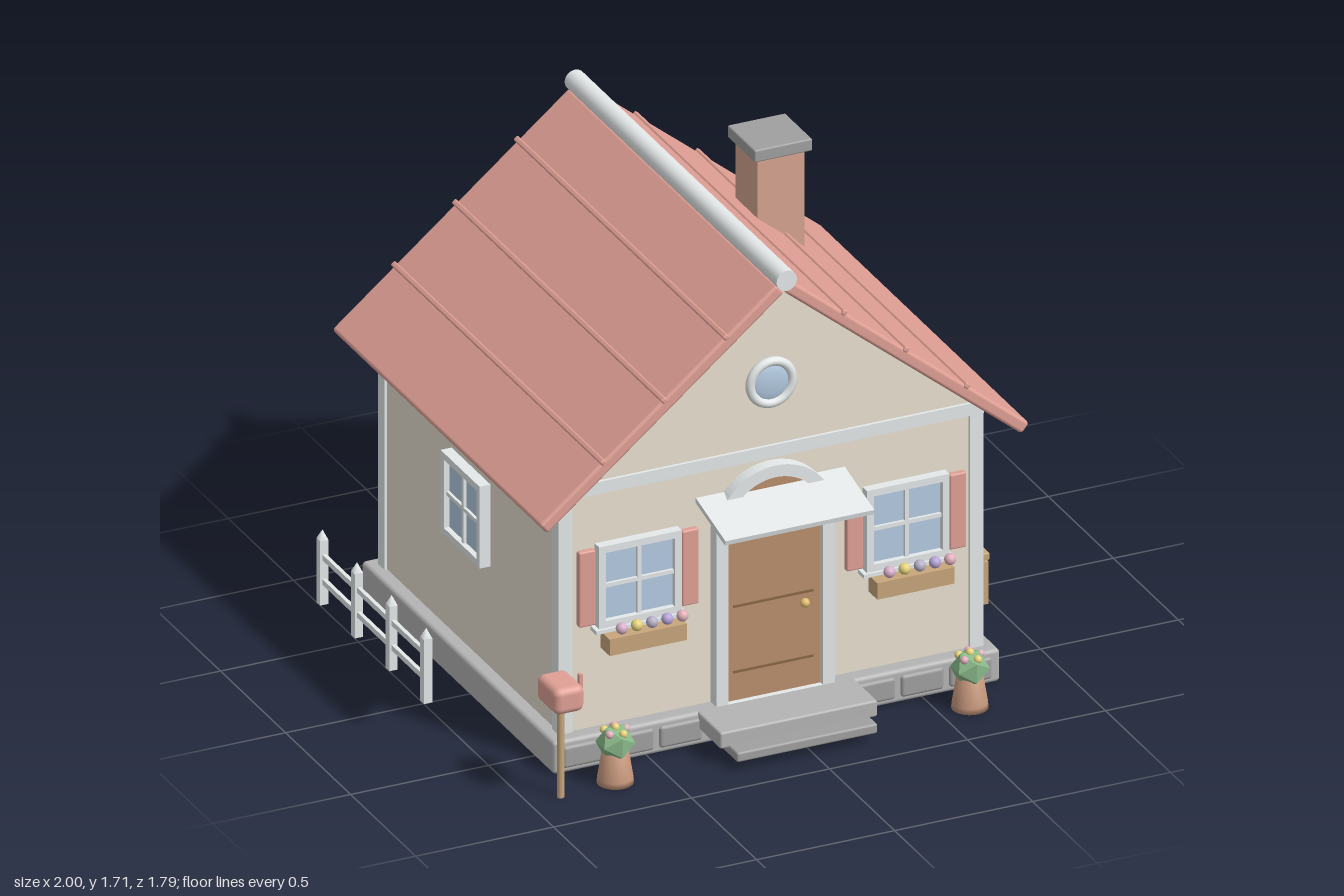
import * as THREE from 'three';
import { RoundedBoxGeometry } from 'three/addons/geometries/RoundedBoxGeometry.js';

const mat = (color, extra = {}) => new THREE.MeshStandardMaterial({ color, ...extra });
const M = {
  wall: mat(0xe8e0d0), roof: mat(0xe0a095), trim: mat(0xe4e8e8), stone: mat(0xb4b4b4), cap: mat(0xa0a0a0),
  brick: mat(0xd6a590), door: mat(0xb98f6c), groove: mat(0x8a6647), glass: mat(0xb4cbe2), wood: mat(0xc8a67c),
  gold: mat(0xe0c070), leaf: mat(0x88b888, { flatShading: true }), pot: mat(0xc6977c),
};
const blooms = [0xd8b0cc, 0xe6d27c, 0xb8b0c8, 0xb8a4d8, 0xe0b0bc].map((c) => mat(c));

function add(parent, name, geo, material, x = 0, y = 0, z = 0) {
  const m = new THREE.Mesh(geo, material);
  m.name = name;
  m.position.set(x, y, z);
  parent.add(m);
  return m;
}
function group(parent, name, x = 0, y = 0, z = 0) {
  const g = new THREE.Group();
  g.name = name;
  g.position.set(x, y, z);
  parent.add(g);
  return g;
}
const box = (w, h, d) => new THREE.BoxGeometry(w, h, d);
const rbox = (w, h, d, r) => new RoundedBoxGeometry(w, h, d, 3, r);
const ball = (r) => new THREE.SphereGeometry(r, 16, 12);
const extrude = (shape, depth) => new THREE.ExtrudeGeometry(shape, { depth, bevelEnabled: false, curveSegments: 20 });

// Upright doorway outline with a round head
function archPath(PathType, r, bottom, spring) {
  const p = new PathType();
  p.moveTo(-r, bottom);
  p.lineTo(r, bottom);
  p.lineTo(r, spring);
  p.absarc(0, spring, r, 0, Math.PI, false);
  p.lineTo(-r, bottom);
  return p;
}

// Four-pane window facing +z
function addWindow(parent, x, y, z, turn = 0) {
  const g = group(parent, 'window', x, y, z);
  g.rotation.y = turn;
  add(g, 'windowGlass', box(0.26, 0.26, 0.02), M.glass, 0, 0, 0.005);
  for (const s of [-1, 1]) {
    add(g, 'windowFrame', box(0.3, 0.025, 0.04), M.trim, 0, s * 0.1375, 0.015);
    add(g, 'windowFrame', box(0.025, 0.25, 0.04), M.trim, s * 0.1375, 0, 0.015);
  }
  add(g, 'windowBar', box(0.25, 0.014, 0.025), M.trim, 0, 0, 0.013);
  add(g, 'windowBar', box(0.014, 0.25, 0.025), M.trim, 0, 0, 0.013);
  return g;
}

function addShell(house) {
  add(house, 'foundation', rbox(1.62, 0.12, 1.48, 0.015), M.stone, 0, 0.06, 0);
  for (let i = -4; i <= 4; i++)
    add(house, 'foundationStone', rbox(0.155, 0.08, 0.03, 0.012), M.cap, i * 0.175, 0.06, 0.735);

  // Walls with both gables in one solid
  const s = new THREE.Shape();
  [[-0.76, 0.1], [0.76, 0.1], [0.76, 1.0], [0, 1.625], [-0.76, 1.0]].forEach(([x, y], i) => (i ? s.lineTo(x, y) : s.moveTo(x, y)));
  add(house, 'walls', extrude(s, 1.37), M.wall, 0, 0, -0.685);
  for (const z of [-0.67, 0.67]) {
    for (const x of [-0.745, 0.745]) add(house, 'cornerTrim', box(0.05, 0.88, 0.05), M.trim, x, 0.56, z);
    add(house, 'gableBeam', box(1.54, 0.045, 0.052), M.trim, 0, 0.995, z);
  }

  // Roof halves with raised seams
  const a = 0.685, L = 1.11, T = 0.045;
  for (const side of [-1, 1]) {
    const g = group(house, 'roofHalf', 0, 1.625, 0);
    g.rotation.z = -side * a;
    add(g, 'roofSlab', rbox(L, T, 1.605, 0.012), M.roof, side * L / 2, T / 2, 0);
    for (const d of [0.24, 0.53, 0.815])
      add(g, 'roofSeam', rbox(0.02, 0.02, 1.615, 0.006), M.roof, side * d, T, 0);
  }
  const ridge = add(house, 'ridge', new THREE.CylinderGeometry(0.037, 0.037, 1.63, 24), M.trim, 0, 1.675, 0);
  ridge.rotation.x = Math.PI / 2;

  add(house, 'chimney', box(0.17, 0.5, 0.17), M.brick, 0.42, 1.39, -0.205);
  add(house, 'chimneyCap', rbox(0.21, 0.045, 0.21, 0.006), M.cap, 0.42, 1.648, -0.205);
}

function addFront(house) {
  // Round gable window
  add(house, 'roundFrame', new THREE.TorusGeometry(0.076, 0.016, 12, 40), M.trim, 0, 1.25, 0.695);
  const pane = add(house, 'roundGlass', new THREE.SphereGeometry(0.072, 24, 16), M.glass, 0, 1.25, 0.688);
  pane.scale.z = 0.25;

  // Door and arched frame
  const frame = archPath(THREE.Shape, 0.215, 0.12, 0.745);
  frame.holes.push(archPath(THREE.Path, 0.172, 0.12, 0.745));
  add(house, 'doorFrame', extrude(frame, 0.05), M.trim, 0, 0, 0.68);
  add(house, 'door', extrude(archPath(THREE.Shape, 0.173, 0.12, 0.745), 0.03), M.door, 0, 0, 0.68);
  for (const y of [0.225, 0.465, 0.735]) add(house, 'doorGroove', box(0.29, 0.008, 0.006), M.groove, 0, y, 0.711);
  add(house, 'doorKnob', ball(0.016), M.gold, 0.11, 0.43, 0.722);

  // Awning on two struts
  const awning = add(house, 'awning', box(0.54, 0.018, 0.235), M.trim, 0, 0.843, 0.8);
  awning.rotation.x = 0.24;
  for (const x of [-0.2, 0.2]) {
    const strut = add(house, 'awningStrut', box(0.016, 0.016, 0.215), M.trim, x, 0.797, 0.795);
    strut.rotation.x = -0.18;
  }

  // Steps
  add(house, 'upperStep', rbox(0.57, 0.06, 0.22, 0.008), M.stone, 0, 0.09, 0.8);
  add(house, 'lowerStep', rbox(0.51, 0.036, 0.25, 0.008), M.cap, 0, 0.052, 0.85);

  // Windows with shutters and flower boxes
  for (const x of [-0.485, 0.485]) {
    const g = addWindow(house, x, 0.64, 0.685);
    for (const s of [-1, 1]) add(g, 'shutter', rbox(0.06, 0.275, 0.025, 0.006), M.roof, s * 0.187, 0, 0.012);
    add(g, 'windowSill', box(0.33, 0.014, 0.05), M.trim, 0, -0.157, 0.02);
    add(g, 'flowerBox', box(0.28, 0.06, 0.07), M.wood, 0, -0.193, 0.06);
    for (let i = 0; i < 5; i++) add(g, 'flower', ball(0.02), blooms[i], -0.083 + i * 0.055, -0.146, 0.066);
  }
}

function addPot(parent, x, z) {
  const g = group(parent, 'flowerPot', x, 0, z);
  const profile = [[0, 0], [0.062, 0], [0.06, 0.02], [0.042, 0.13], [0, 0.13]].map(([r, y]) => new THREE.Vector2(r, y));
  add(g, 'pot', new THREE.LatheGeometry(profile, 24), M.pot);
  add(g, 'foliage', new THREE.IcosahedronGeometry(0.066, 0), M.leaf, 0, 0.145, 0);
  for (let i = 0; i < 6; i++) {
    const t = (i / 5) * Math.PI * 2, r = i < 5 ? 0.038 : 0;
    add(g, 'bloom', ball(0.014), blooms[i % 2 ? 1 : 4], Math.cos(t) * r, i < 5 ? 0.188 : 0.2, Math.sin(t) * r);
  }
}

function addYard(root) {
  for (const x of [-0.675, 0.61]) addPot(root, x, 0.785);

  // Mailbox
  const mail = group(root, 'mailbox', -0.885, 0, 0.81);
  add(mail, 'mailPost', new THREE.CylinderGeometry(0.012, 0.012, 0.35, 12), M.wood, 0, 0.175, 0);
  add(mail, 'mailBody', rbox(0.11, 0.095, 0.155, 0.025), M.roof, 0, 0.383, 0);
  add(mail, 'mailFlag', box(0.012, 0.08, 0.016), M.roof, 0.061, 0.408, 0.02);

  // Bench
  const bench = group(root, 'bench', 0.903, 0, -0.16);
  add(bench, 'benchSeat', rbox(0.19, 0.028, 0.55, 0.005), M.wood, 0, 0.166, 0);
  for (const s of [-1, 1]) add(bench, 'benchLeg', box(0.17, 0.155, 0.03), M.wood, 0, 0.0775, s * 0.272);

  // Picket fence
  const fence = group(root, 'fence', -0.985, 0, -0.41);
  for (let i = 0; i < 4; i++) {
    const z = (i - 1.5) * 0.266;
    add(fence, 'picket', box(0.03, 0.235, 0.03), M.trim, 0, 0.1175, z);
    const tip = add(fence, 'picketTip', new THREE.ConeGeometry(0.021, 0.035, 4), M.trim, 0, 0.2525, z);
    tip.rotation.y = Math.PI / 4;
  }
  for (const y of [0.085, 0.175]) add(fence, 'fenceRail', box(0.014, 0.02, 0.8), M.trim, 0, y, 0);
}

export function createModel() {
  const root = new THREE.Group();
  root.name = 'cottage';
  const house = group(root, 'house', -0.03, 0, -0.08);
  addShell(house);
  addFront(house);
  for (const s of [-1, 1]) addWindow(house, s * 0.765, 0.64, 0, s * Math.PI / 2);
  addYard(root);
  return root;
}
